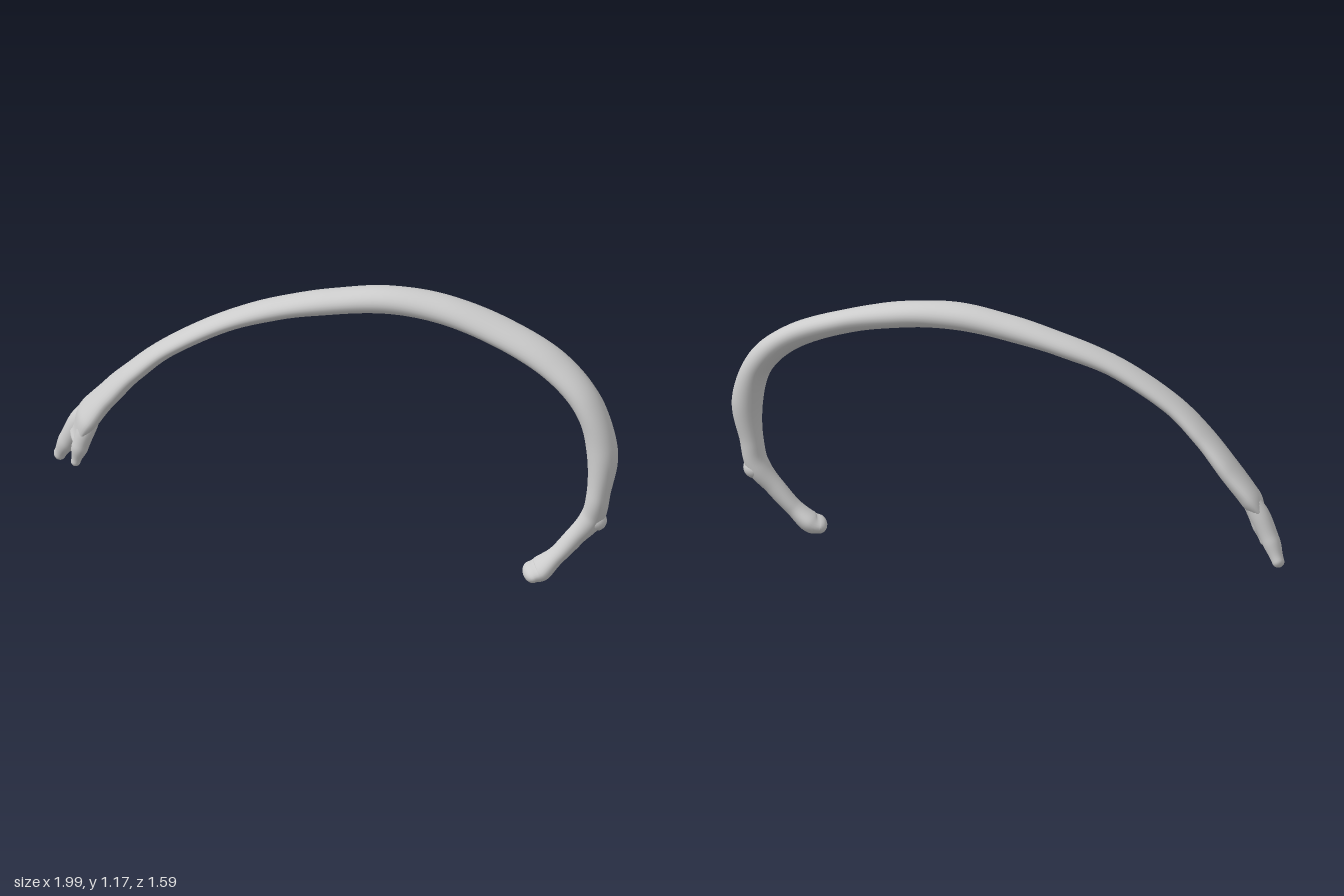
import * as THREE from 'three';

const material = new THREE.MeshStandardMaterial({ color: 0xcccccc, side: THREE.DoubleSide });

// Sweeps an ellipse along rows of [x, y, z, halfThickness, halfWidth, yaw, roll], with rounded ends.
function sweep(name, rows, rings = 120, sides = 24) {
  const curve = new THREE.CatmullRomCurve3(rows.map(r => new THREE.Vector3(r[0], r[1], r[2])), false, 'catmullrom', 0.5);
  const positions = [], index = [];
  let count = 0;

  const addRing = (u, scale, shift) => {
    const f = u * (rows.length - 1), k = Math.min(Math.floor(f), rows.length - 2);
    const s = THREE.MathUtils.smoothstep(f - k, 0, 1);
    const [t, w, yaw, roll] = [3, 4, 5, 6].map(i => THREE.MathUtils.lerp(rows[k][i] ?? 0, rows[k + 1][i] ?? 0, s));
    const T = curve.getTangent(u);
    const across = new THREE.Vector3(-Math.sin(yaw), 0, Math.cos(yaw));
    across.addScaledVector(T, -across.dot(T)).normalize().applyAxisAngle(T, -roll);
    const out = new THREE.Vector3().crossVectors(T, across);
    const c = curve.getPoint(u).addScaledVector(T, shift * Math.min(t, w));
    for (let i = 0; i < sides; i++) {
      const a = i / sides * Math.PI * 2;
      const p = c.clone().addScaledVector(out, Math.cos(a) * t * scale).addScaledVector(across, Math.sin(a) * w * scale);
      positions.push(p.x, p.y, p.z);
    }
    count++;
  };

  const cap = 6;
  for (let i = 0; i < cap; i++) {
    const a = i / cap * Math.PI / 2;
    addRing(0, Math.sin(a), -Math.cos(a));
  }
  for (let j = 0; j <= rings; j++) addRing(j / rings, 1, 0);
  for (let i = cap - 1; i >= 0; i--) {
    const a = i / cap * Math.PI / 2;
    addRing(1, Math.sin(a), Math.cos(a));
  }
  for (let j = 0; j < count - 1; j++) {
    for (let i = 0; i < sides; i++) {
      const a = j * sides + i, b = j * sides + (i + 1) % sides;
      index.push(a, a + sides, b, b, a + sides, b + sides);
    }
  }
  const geometry = new THREE.BufferGeometry();
  geometry.setAttribute('position', new THREE.Float32BufferAttribute(positions, 3));
  geometry.setIndex(index);
  geometry.computeVertexNormals();
  const mesh = new THREE.Mesh(geometry, material);
  mesh.name = name;
  return mesh;
}

export function createModel() {
  const group = new THREE.Group();
  group.name = 'ribBone';

  // Head, neck and the long curved shaft
  group.add(sweep('shaft', [
    [0.645, 0.045, 0.635, 0.036, 0.074, 0.1, 0],
    [0.685, 0.06, 0.642, 0.044, 0.076, 0.1, 0],
    [0.75, 0.125, 0.665, 0.036, 0.053, 0.2, 0],
    [0.82, 0.21, 0.69, 0.04, 0.05, 0.2, 0],
    [0.885, 0.3, 0.718, 0.05, 0.058, 0.3, 0],
    [0.908, 0.41, 0.732, 0.05, 0.068, 0.3, 0],
    [0.93, 0.6, 0.718, 0.066, 0.074, 0.4, 0],
    [0.89, 0.79, 0.65, 0.058, 0.078, 0.5, 0.2],
    [0.78, 0.935, 0.52, 0.052, 0.08, 0.52, 0.35],
    [0.6, 1.04, 0.355, 0.05, 0.08, 0.52, 0.3],
    [0.4, 1.105, 0.2, 0.055, 0.078, 0.52, 0.15],
    [0.2, 1.122, 0.075, 0.056, 0.076, 0.52, 0],
    [0, 1.09, -0.045, 0.052, 0.074, 0.52, 0],
    [-0.2, 1.035, -0.165, 0.045, 0.072, 0.52, 0],
    [-0.4, 0.955, -0.27, 0.039, 0.07, 0.52, 0],
    [-0.6, 0.82, -0.39, 0.037, 0.074, 0.5, 0],
    [-0.72, 0.69, -0.48, 0.04, 0.083, 0.45, 0],
    [-0.81, 0.56, -0.56, 0.045, 0.095, 0.35, 0],
    [-0.885, 0.45, -0.61, 0.046, 0.105, 0.2, 0],
    [-0.94, 0.355, -0.645, 0.018, 0.085, 0.1, 0],
  ], 200, 28));

  // Two prongs of the forked tip
  group.add(sweep('frontProng', [
    [-0.86, 0.49, -0.585, 0.03, 0.04, 0.2],
    [-0.905, 0.41, -0.576, 0.04, 0.047, 0.1],
    [-0.935, 0.32, -0.582, 0.036, 0.039, 0.1],
    [-0.952, 0.245, -0.592, 0.02, 0.021, 0.1],
  ], 30));
  group.add(sweep('rearProng', [
    [-0.86, 0.49, -0.63, 0.03, 0.05, 0.2],
    [-0.91, 0.39, -0.675, 0.042, 0.052, 0.1],
    [-0.945, 0.29, -0.717, 0.038, 0.046, 0.1],
    [-0.965, 0.21, -0.76, 0.026, 0.031, 0.1],
  ], 30));

  // Knob where the neck meets the shaft
  const tubercle = new THREE.Mesh(new THREE.SphereGeometry(1, 24, 16), material);
  tubercle.name = 'tubercle';
  tubercle.scale.set(0.045, 0.045, 0.056);
  tubercle.position.set(0.9, 0.29, 0.724);
  group.add(tubercle);

  return group;
}
